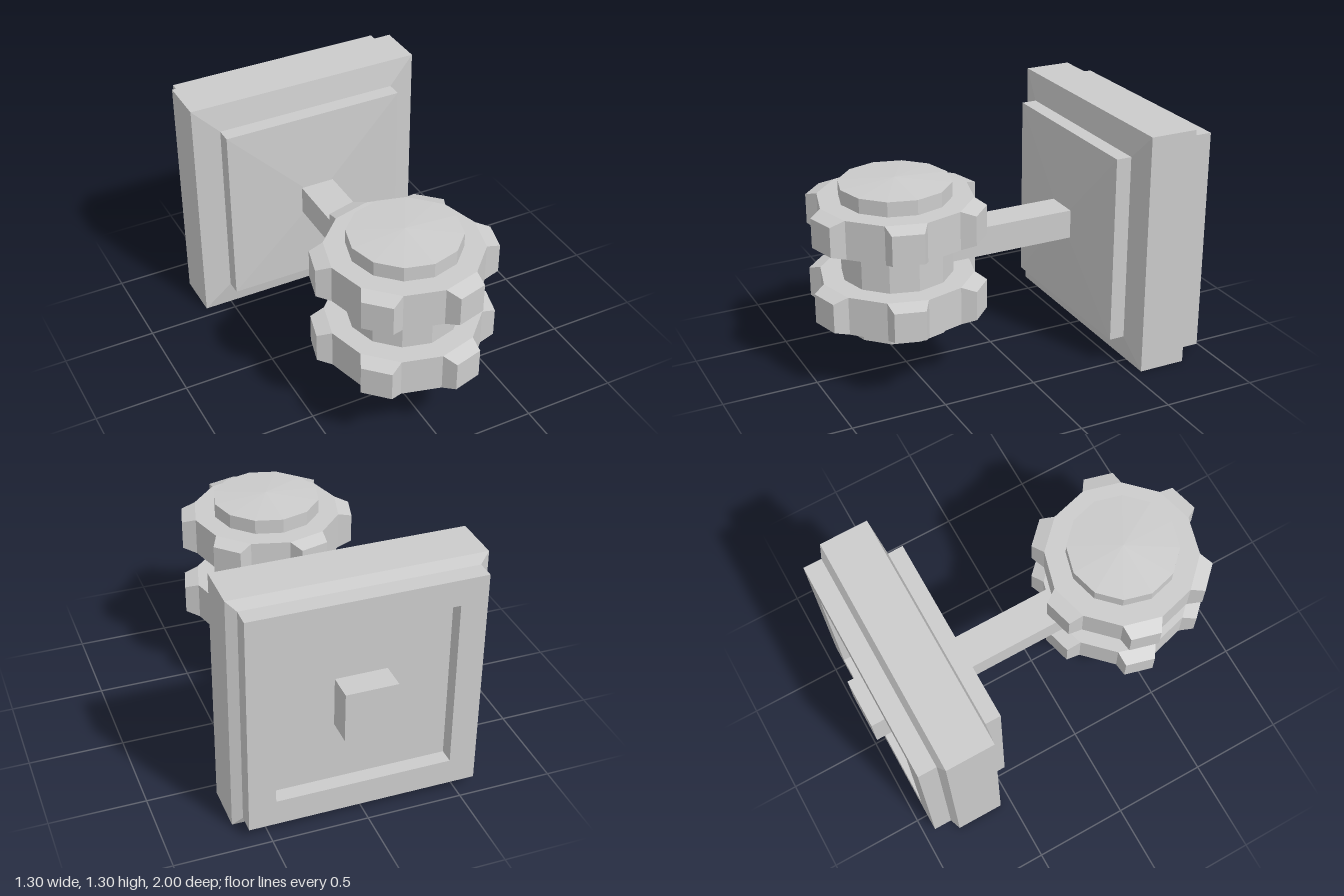
import * as THREE from 'three';

const material = new THREE.MeshStandardMaterial({ color: 0xcccccc, flatShading: true });
const MID_Y = 0.65;

function add(parent, name, geometry, x = 0, y = 0, z = 0) {
  const mesh = new THREE.Mesh(geometry, material);
  mesh.name = name;
  mesh.position.set(x, y, z);
  parent.add(mesh);
  return mesh;
}

// Faceted solid of revolution from [radius, height] pairs, listed bottom to top
function turned(profile, sides, start = 0) {
  const points = profile.map(([r, h]) => new THREE.Vector2(r, h));
  return new THREE.LatheGeometry(points, sides, start);
}

// Wedge whose outer (+z) face is smaller than its base
function toothGeometry(width, height, depth, inset) {
  const geometry = new THREE.BoxGeometry(width, height, depth);
  const p = geometry.attributes.position;
  for (let i = 0; i < p.count; i++) {
    if (p.getZ(i) > 0) {
      p.setX(i, p.getX(i) - Math.sign(p.getX(i)) * inset);
      p.setY(i, p.getY(i) - Math.sign(p.getY(i)) * inset);
    }
  }
  return geometry.translate(0, 0, depth / 2);
}

// Twelve-sided ring with a tooth on every other side
function createToothedRing() {
  const ring = new THREE.Group();
  ring.name = 'toothedRing';
  const radius = 0.4, height = 0.205;
  const apothem = radius * Math.cos(Math.PI / 12);
  const side = 2 * radius * Math.sin(Math.PI / 12);
  add(ring, 'ringBody', new THREE.CylinderGeometry(radius, radius, height, 12));
  const tooth = toothGeometry(side, height, 0.075, 0.024);
  for (let i = 0; i < 6; i++) {
    const a = Math.PI / 12 + (i * Math.PI) / 3;
    const mesh = add(ring, 'tooth', tooth, Math.sin(a) * apothem, 0, Math.cos(a) * apothem);
    mesh.rotation.y = a;
  }
  return ring;
}

export function createModel() {
  const model = new THREE.Group();
  model.name = 'wallMountedToothedDrum';

  // Square stepped plate, recessed at the back, with a shallow pyramid front
  const plateProfile = [
    [0, -0.86], [0.46, -0.86], [0.46, -0.94], [0.6, -0.94], [0.6, -0.842],
    [0.65, -0.817], [0.65, -0.56], [0.505, -0.535], [0.505, -0.452], [0, -0.427],
  ].map(([half, z]) => [half * Math.SQRT2, z]);
  const plate = turned(plateProfile, 4, Math.PI / 4).rotateX(Math.PI / 2);
  add(model, 'backPlate', plate, 0, MID_Y, 0);

  // Square peg on the back of the plate
  add(model, 'backPeg', new THREE.BoxGeometry(0.27, 0.265, 0.15), 0, MID_Y, -0.925);

  // Arm joining plate and drum
  add(model, 'arm', new THREE.BoxGeometry(0.187, 0.157, 0.76), 0, MID_Y + 0.003, -0.08);

  // Upright drum with low conical ends and two toothed rings
  const drum = new THREE.Group();
  drum.name = 'drum';
  drum.position.z = 0.535;
  add(drum, 'drumBody', turned([[0, 0.245], [0.29, 0.266], [0.29, 1.039], [0, 1.06]], 12));
  for (const y of [0.447, 0.858]) {
    const ring = createToothedRing();
    ring.position.y = y;
    drum.add(ring);
  }
  model.add(drum);

  return model;
}
